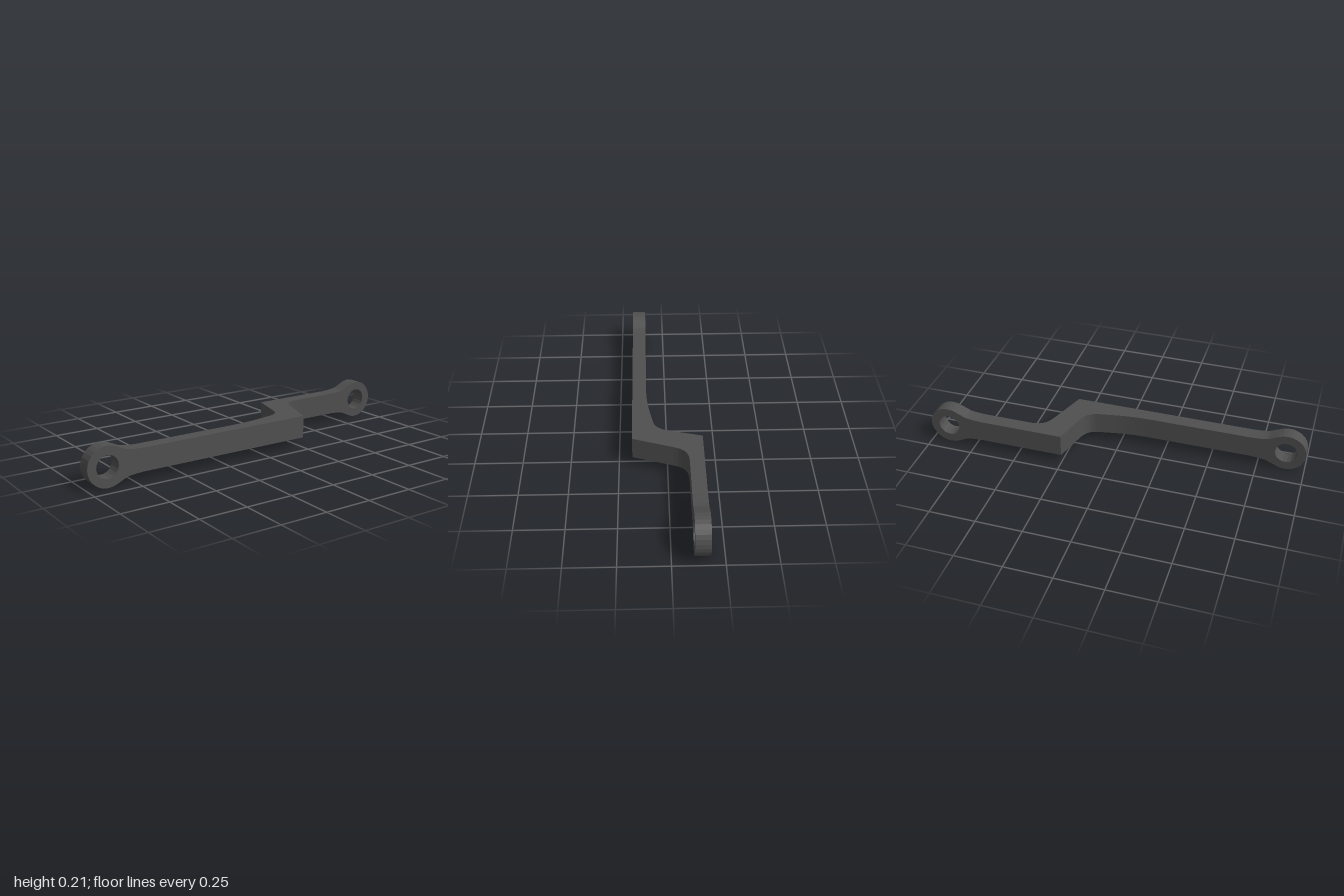
import * as THREE from 'three';

const MID_Y = 0.105;   // height of the link's centre line
const HALF = 0.06;     // half height of the bar
const EYE_R = 0.105;
const HOLE_R = 0.059;
const THICK = 0.075;   // thickness of each arm in z

// Rounded eye with a flared neck, pointing to -x, centred on its hole
function eyeGeometry() {
  const a = THREE.MathUtils.degToRad(62);
  const x = EYE_R * Math.cos(a), y = EYE_R * Math.sin(a);
  const s = new THREE.Shape();
  s.moveTo(0.195, -HALF);
  s.lineTo(0.195, HALF);
  s.quadraticCurveTo(0.112, 0.063, 0.095, 0.072);
  s.lineTo(x, y);
  s.absarc(0, 0, EYE_R, a, Math.PI * 2 - a, false);
  s.lineTo(0.095, -0.072);
  s.quadraticCurveTo(0.112, -0.063, 0.195, -HALF);
  const hole = new THREE.Path();
  hole.absarc(0, 0, HOLE_R, 0, Math.PI * 2, true);
  s.holes.push(hole);
  return new THREE.ExtrudeGeometry(s, { depth: THICK, bevelEnabled: false, curveSegments: 9 });
}

// Cranked bar, drawn in plan (x, -z) and extruded upwards
function barGeometry() {
  const s = new THREE.Shape();
  s.moveTo(-0.7, -0.181);
  s.lineTo(0.27, -0.181);
  s.lineTo(0.343, 0.03);
  s.bezierCurveTo(0.365, 0.09, 0.39, 0.106, 0.46, 0.106);
  s.lineTo(0.7, 0.106);
  s.lineTo(0.7, 0.181);
  s.lineTo(0.252, 0.181);
  s.lineTo(0.206, 0.01);
  s.bezierCurveTo(0.194, -0.035, 0.175, -0.065, 0.12, -0.074);
  s.bezierCurveTo(0.03, -0.089, -0.03, -0.106, -0.18, -0.106);
  s.lineTo(-0.7, -0.106);
  const g = new THREE.ExtrudeGeometry(s, { depth: HALF * 2, bevelEnabled: false, curveSegments: 8 });
  return g.rotateX(-Math.PI / 2);
}

export function createModel() {
  const group = new THREE.Group();
  group.name = 'crankedLink';
  const steel = new THREE.MeshStandardMaterial({ color: 0x4f4f4f, flatShading: true });
  steel.name = 'dark steel';

  const bar = new THREE.Mesh(barGeometry(), steel);
  bar.name = 'crankedBar';
  bar.position.y = MID_Y - HALF;
  group.add(bar);

  // Front eye on the right end, rear eye on the left end
  const geometry = eyeGeometry();
  for (const [name, side, z] of [['rightFrontEye', -1, 0.106], ['leftRearEye', 1, -0.181]]) {
    const eye = new THREE.Mesh(geometry, steel);
    eye.name = name;
    eye.position.set(side * 0.895, MID_Y, z);
    if (side > 0) eye.rotation.z = Math.PI;
    group.add(eye);
  }
  return group;
}
